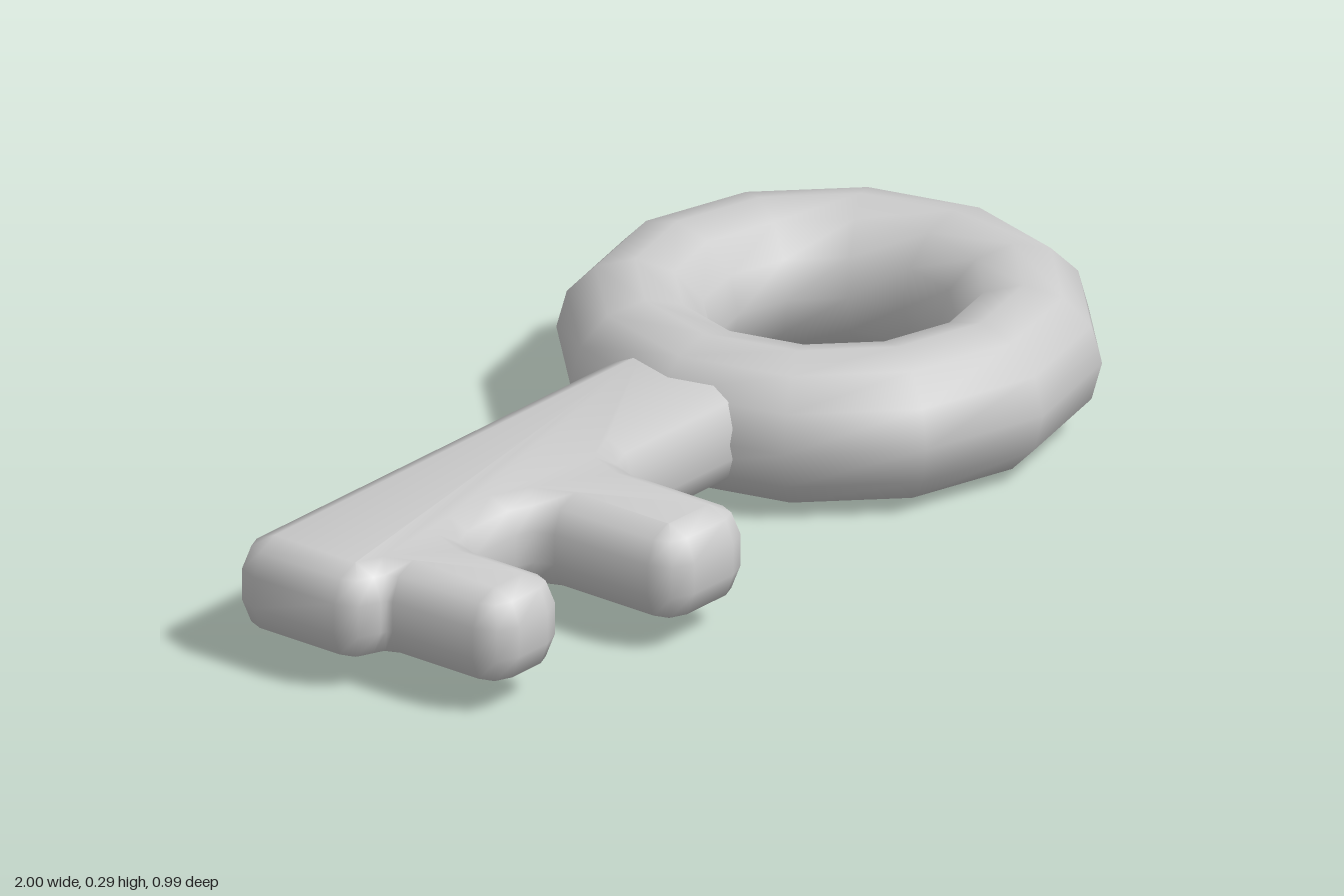
import * as THREE from 'three';
import { toCreasedNormals } from 'three/addons/utils/BufferGeometryUtils.js';

const MID = 0.143;    // height of the middle plane
const EDGE = 0.058;   // how far the rounded edge reaches in from the outline

// Key outline seen from above: [x, -z, corner radius], counter-clockwise
const CORNERS = [
  [-1, 0.16, 0.06], [-1, -0.145, 0.06],
  [-0.925, -0.145, 0.015], [-0.925, -0.405, 0.06], [-0.725, -0.405, 0.06], [-0.725, -0.145, 0.05],
  [-0.51, -0.145, 0.05], [-0.51, -0.47, 0.06], [-0.28, -0.47, 0.06], [-0.28, -0.145, 0.05],
  [0.15, -0.145, 0.06], [0.15, 0.16, 0.06],
];

// Outline with rounded corners, moved inwards by inset
function outline(inset) {
  const pts = CORNERS.map(([x, v]) => new THREE.Vector2(x, v));
  const n = pts.length, loop = [];
  pts.forEach((p, i) => {
    const r = CORNERS[i][2];
    const a = p.clone().sub(pts[(i + n - 1) % n]).normalize();
    const b = pts[(i + 1) % n].clone().sub(p).normalize();
    const radius = a.cross(b) > 0 ? r - inset : r + inset;
    const centre = p.clone().addScaledVector(a, -r).addScaledVector(b, r);
    for (let k = 0; k <= 2; k++) {
      const t = (k * Math.PI) / 4;
      loop.push(centre.clone()
        .addScaledVector(b, -radius * Math.cos(t))
        .addScaledVector(a, radius * Math.sin(t)));
    }
  });
  return loop;
}

// Blade: stacked outlines from bottom to top, closed by flat caps
function bladeGeometry() {
  const rows = [];
  for (const side of [-1, 1]) {
    for (let k = 0; k <= 2; k++) {
      const t = ((side < 0 ? 2 - k : k) * Math.PI) / 4;
      rows.push({
        loop: outline(EDGE * (1 - Math.cos(t))),
        y: MID + side * (0.03 + 0.0625 * Math.sin(t)),
      });
    }
  }
  const n = rows[0].loop.length, position = [], index = [];
  for (const { loop, y } of rows) for (const p of loop) position.push(p.x, y, -p.y);

  for (let j = 0; j < rows.length - 1; j++) {
    for (let i = 0; i < n; i++) {
      const a = j * n + i, b = j * n + ((i + 1) % n);
      index.push(a, b, b + n, a, b + n, a + n);
    }
  }
  const cap = rows[0].loop, top = (rows.length - 1) * n;
  for (const [a, b, c] of THREE.ShapeUtils.triangulateShape(cap, [])) {
    const up = THREE.ShapeUtils.area([cap[a], cap[b], cap[c]]) > 0;
    const [p, q] = up ? [b, c] : [c, b];
    index.push(top + a, top + p, top + q, a, q, p);
  }
  const geometry = new THREE.BufferGeometry();
  geometry.setAttribute('position', new THREE.Float32BufferAttribute(position, 3));
  geometry.setIndex(index);
  return toCreasedNormals(geometry, 1);
}

export function createModel() {
  const group = new THREE.Group();
  group.name = 'key';
  const material = new THREE.MeshStandardMaterial({ color: 0xcccccc });

  // Ring handle
  const ring = new THREE.Mesh(new THREE.TorusGeometry(0.353, 0.143, 12, 12), material);
  ring.name = 'ringHandle';
  ring.rotation.x = -Math.PI / 2;
  ring.position.set(0.503, MID, 0);
  group.add(ring);

  // Shaft with its two teeth
  const blade = new THREE.Mesh(bladeGeometry(), material);
  blade.name = 'shaftAndTeeth';
  group.add(blade);

  return group;
}
